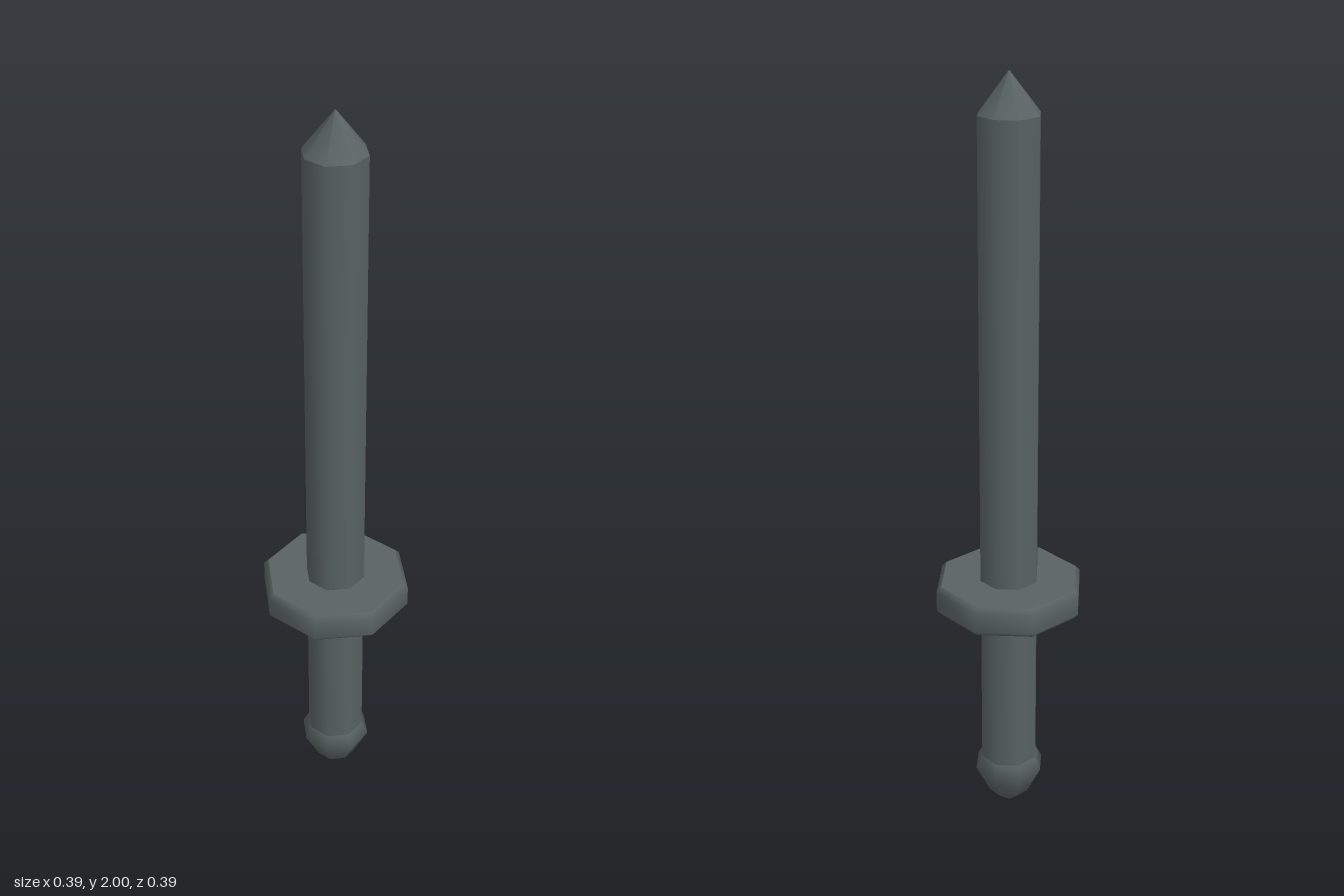
import * as THREE from 'three';

export function createModel() {
  const group = new THREE.Group();
  group.name = 'sword';

  const steel = new THREE.MeshStandardMaterial({ color: 0x596264 });
  steel.name = 'darkSteel';

  // Eight-sided turned part from [radius, height] points, bottom to top
  function turned(name, profile) {
    const points = profile.map(([r, y]) => new THREE.Vector2(r, y));
    const mesh = new THREE.Mesh(new THREE.LatheGeometry(points, 8), steel);
    mesh.name = name;
    group.add(mesh);
  }

  // Pommel: pointed bulb under the grip
  turned('pommel', [[0, 0], [0.055, 0.045], [0.094, 0.125], [0.077, 0.16]]);

  // Grip and the collar below the guard
  turned('grip', [[0.077, 0.16], [0.077, 0.58]]);
  turned('collar', [[0.077, 0.57], [0.093, 0.585], [0.093, 0.605], [0.085, 0.62]]);

  // Guard: bevelled octagonal disc, with flat faces kept crisp
  turned('guardUnderside', [[0, 0.62], [0.184, 0.62]]);
  turned('guardRim', [[0.184, 0.62], [0.197, 0.634], [0.197, 0.687], [0.184, 0.70]]);
  turned('guardTop', [[0.184, 0.70], [0, 0.70]]);

  // Blade and its pointed end
  turned('blade', [[0.078, 0.70], [0.078, 1.90]]);
  turned('bladeTip', [[0.078, 1.90], [0, 2.0]]);

  return group;
}
